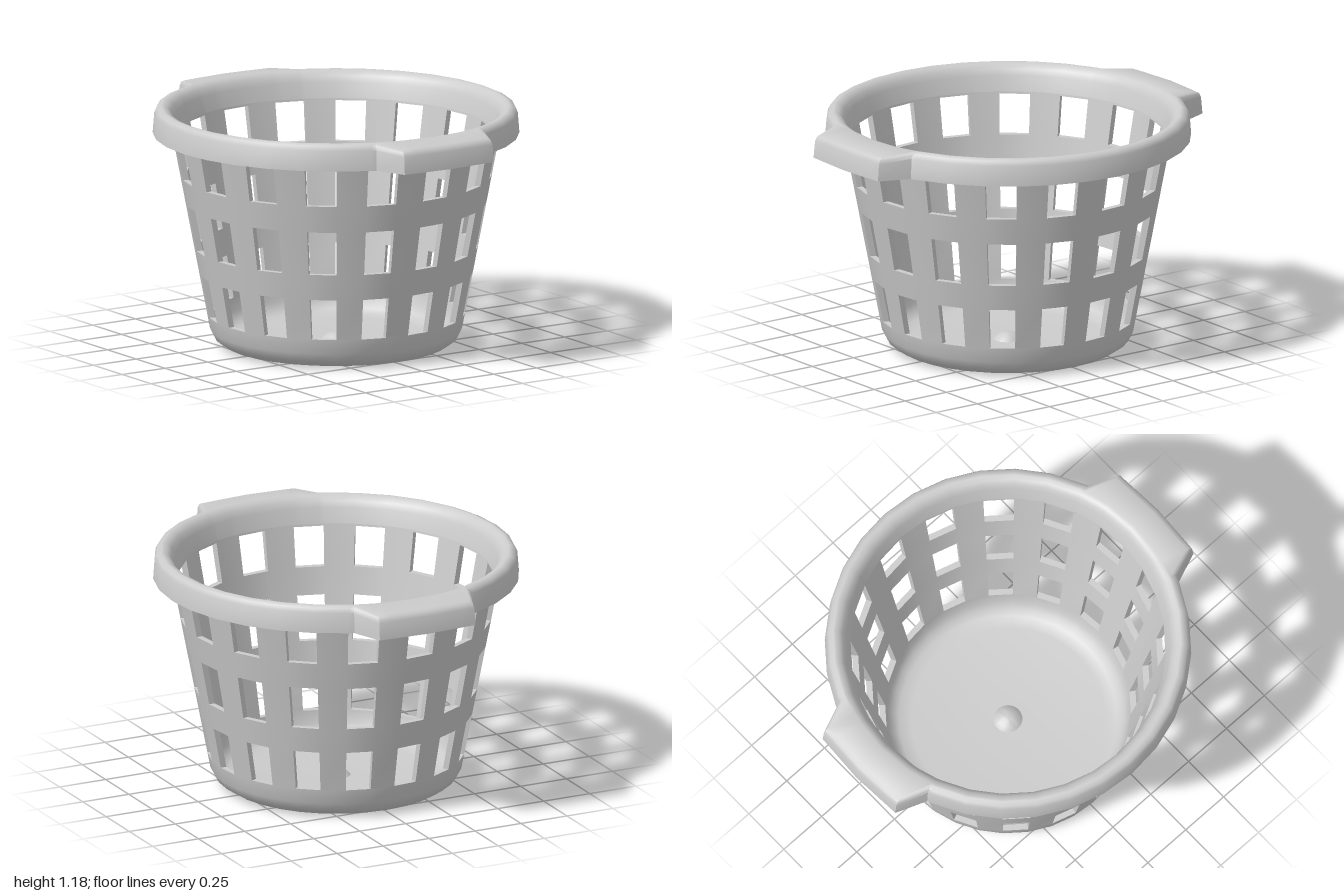
import * as THREE from 'three';
import { toCreasedNormals } from 'three/addons/utils/BufferGeometryUtils.js';

const SEG = 32;
const STEP = (Math.PI * 2) / SEG;
const WALL = 0.03;

// Tapered wall radii at a height
const rOut = (y) => 0.61 + 0.19 * (y - 0.07);
const rIn = (y) => rOut(y) - WALL;

// Point on a ring: angle runs from the front (+z) towards +x
const at = (angle, r, y) => [r * Math.sin(angle), y, r * Math.cos(angle)];

function quad(out, a, b, c, d) {
  const same = (p, q) => Math.hypot(p[0] - q[0], p[1] - q[1], p[2] - q[2]) < 1e-6;
  if (!same(a, b)) out.push(...a, ...b, ...c);
  if (!same(c, d)) out.push(...a, ...c, ...d);
}

// Strip between two [radius, height] points over one angular step
function strip(out, a0, a1, p, q) {
  quad(out, at(a0, ...p), at(a1, ...p), at(a1, ...q), at(a0, ...q));
}

// Sweep a profile, which may vary with the angle, through a list of angles
function sweep(out, angles, profileAt) {
  for (let i = 0; i < angles.length - 1; i++) {
    const p = profileAt(angles[i]);
    const q = profileAt(angles[i + 1]);
    for (let j = 0; j < p.length - 1; j++) {
      quad(out, at(angles[i], ...p[j]), at(angles[i + 1], ...q[j]),
        at(angles[i + 1], ...q[j + 1]), at(angles[i], ...p[j + 1]));
    }
  }
}

function makeMesh(name, positions, crease) {
  const geometry = new THREE.BufferGeometry();
  geometry.setAttribute('position', new THREE.Float32BufferAttribute(positions, 3));
  const mesh = new THREE.Mesh(
    toCreasedNormals(geometry, crease),
    new THREE.MeshStandardMaterial({ color: 0xcccccc, side: THREE.DoubleSide })
  );
  mesh.name = name;
  return mesh;
}

const ringAngles = Array.from({ length: SEG + 1 }, (_, i) => i * STEP);

// Rounded base with a small raised dimple in the middle
function makeBase() {
  const out = [];
  const under = [[0, 0.03], [0.035, 0.022], [0.05, 0], [0.5, 0], [0.545, 0.008],
    [0.59, 0.038], [0.612, 0.08], [rOut(0.155), 0.155]];
  const floor = [[rIn(0.155), 0.155], [rIn(0.09), 0.09], [0.562, 0.055], [0.53, 0.035],
    [0.47, 0.027], [0.07, 0.025], [0.05, 0.045], [0.025, 0.057], [0, 0.06]];
  sweep(out, ringAngles, () => under);
  sweep(out, ringAngles, () => floor);
  return makeMesh('base', out, 0.75);
}

// Double-skinned wall with three rows of sixteen openings
function makeWall() {
  const out = [];
  const levels = [0.155, 0.36, 0.49, 0.71, 0.845, 1.04, 1.05];
  for (let i = 0; i < SEG; i++) {
    const a0 = i * STEP;
    const a1 = a0 + STEP;
    for (let k = 0; k < levels.length - 1; k++) {
      const [y0, y1] = [levels[k], levels[k + 1]];
      const o0 = [rOut(y0), y0], o1 = [rOut(y1), y1];
      const n0 = [rIn(y0), y0], n1 = [rIn(y1), y1];
      if (i % 2 === 0 && k % 2 === 0) {
        // Sill, lintel and both sides of the opening
        strip(out, a0, a1, o0, n0);
        strip(out, a0, a1, n1, o1);
        quad(out, at(a0, ...o0), at(a0, ...n0), at(a0, ...n1), at(a0, ...o1));
        quad(out, at(a1, ...n0), at(a1, ...o0), at(a1, ...o1), at(a1, ...n1));
      } else {
        strip(out, a0, a1, o0, o1);
        strip(out, a0, a1, n1, n0);
      }
    }
  }
  return makeMesh('wall', out, 0.5);
}

// Handle outline corners, mirrored to all four quadrants
const RIM_R = 0.89;
const TIP = [0, 1], CORNER = [0.26, 0.985], ROOT = [0.32, 0.83];
const cornerAngle = Math.atan2(...CORNER);
const rootAngle = Math.atan2(...ROOT);

// Distance along a ray from the centre to the line through two corners
function rayToLine(angle, [x0, z0], [x1, z1]) {
  const dx = x1 - x0, dz = z1 - z0;
  return (x0 * dz - z0 * dx) / (Math.sin(angle) * dz - Math.cos(angle) * dx);
}

function rimRadius(angle) {
  const a = Math.atan2(Math.abs(Math.sin(angle)), Math.abs(Math.cos(angle)));
  if (a <= cornerAngle + 1e-6) return rayToLine(a, TIP, CORNER);
  if (a < rootAngle - 1e-6) return rayToLine(a, CORNER, ROOT);
  return RIM_R;
}

// Hollow overhanging rim that widens into a handle at front and back
function makeRim() {
  const out = [];
  const angles = [...ringAngles];
  for (const c of [cornerAngle, rootAngle]) {
    angles.push(c, Math.PI - c, Math.PI + c, Math.PI * 2 - c);
  }
  angles.sort((a, b) => a - b);
  sweep(out, angles, (angle) => {
    const R = rimRadius(angle);
    const drop = 0.12 * (R - RIM_R);
    return [
      [rOut(1.05), 1.05], [0.805, 1.11], [0.825, 1.148], [0.845, 1.158],
      [R - 0.032, 1.15 - drop], [R - 0.02, 1.05], [R, 1.05],
      [R - 0.008, 1.15 - drop], [R - 0.019, 1.171 - drop], [R - 0.04, 1.18 - drop],
      [0.84, 1.18], [0.82, 1.172], [0.802, 1.155], [0.788, 1.125], [rIn(1.05), 1.05],
    ];
  });
  return makeMesh('rimWithHandles', out, 0.8);
}

export function createModel() {
  const basket = new THREE.Group();
  basket.name = 'laundryBasket';
  basket.add(makeBase(), makeWall(), makeRim());
  return basket;
}
